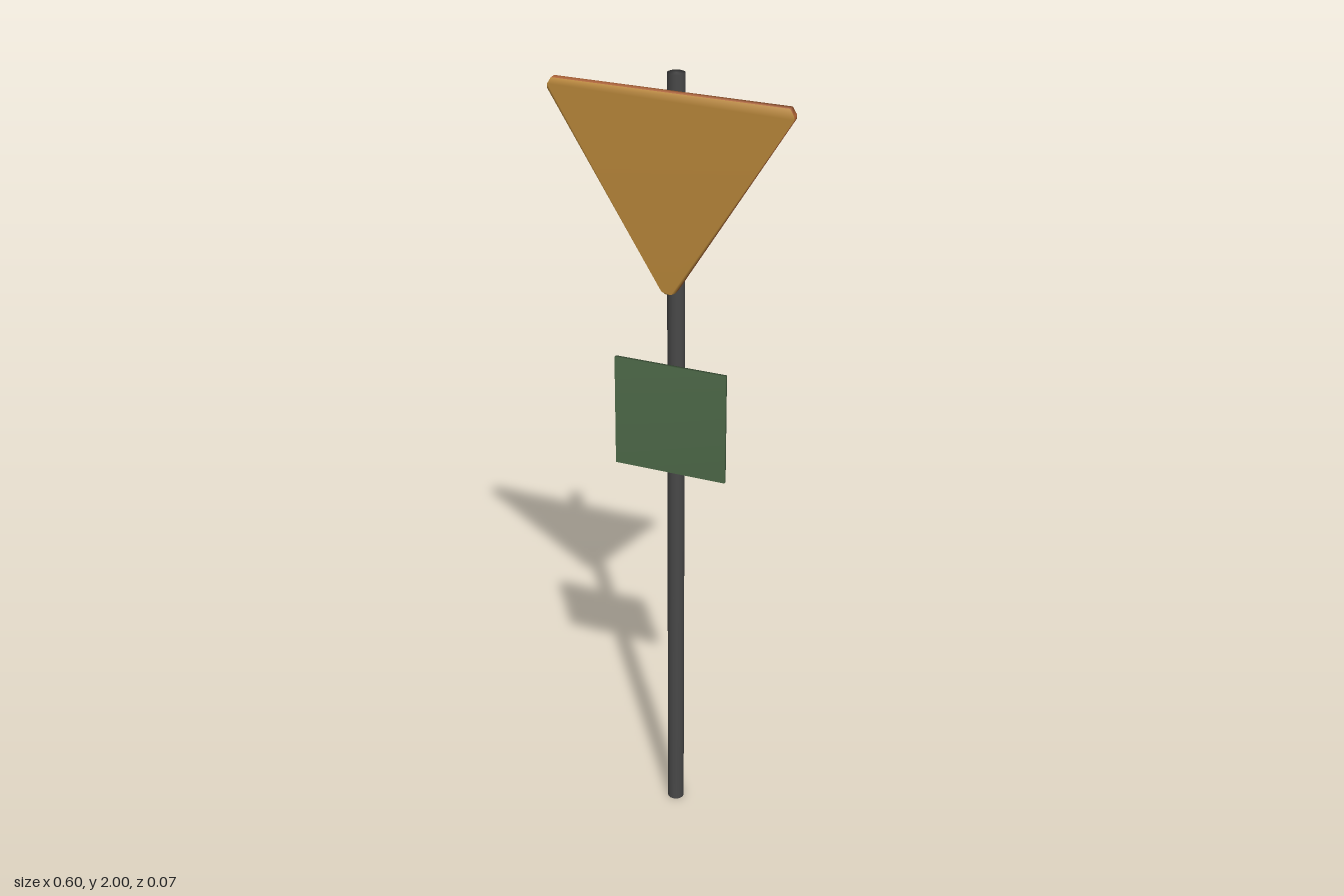
import * as THREE from 'three';
import { mergeVertices } from 'three/addons/utils/BufferGeometryUtils.js';

const POLE_X = 0.002, POLE_Z = -0.01;

const paint = (color) => new THREE.MeshStandardMaterial({ color });

// Weld corners so that normals are shared across the edges
function soften(geometry) {
  geometry.deleteAttribute('normal');
  geometry.deleteAttribute('uv');
  const welded = mergeVertices(geometry, 1e-5);
  welded.computeVertexNormals();
  return welded;
}

function addMesh(parent, name, geometry, material) {
  const mesh = new THREE.Mesh(geometry, material);
  mesh.name = name;
  parent.add(mesh);
  return mesh;
}

// Closed outline from its right half, listed from one end to the other
function mirroredShape(half) {
  const left = half.map(([x, y]) => [-x, y]).reverse();
  return new THREE.Shape([...half, ...left].map(([x, y]) => new THREE.Vector2(x, y)));
}

const extrude = (shape, depth) =>
  new THREE.ExtrudeGeometry(shape, { depth, bevelEnabled: false });

// Pole bracket: flared feet joined by a faceted strap, outline in plan (x, -z)
function clampGeometry(height) {
  const outer = [
    [0.066, -0.017], [0.066, -0.006], [0.034, 0.012], [0.033, 0.016], [0.029, 0.017],
    [0.025, 0.025], [0.020, 0.027], [0.011, 0.035],
  ];
  const inner = [
    [0.010, 0.032], [0.018, 0.024], [0.022, 0.022], [0.026, 0.014], [0.027, -0.017],
  ];
  const left = (list) => list.map(([x, y]) => [-x, y]);
  const outline = [
    ...outer, ...left(outer).reverse(),
    ...left(inner).reverse(), ...inner,
  ];
  const shape = new THREE.Shape(outline.map(([x, y]) => new THREE.Vector2(x, y)));
  return extrude(shape, height).rotateX(-Math.PI / 2).translate(0, -height / 2, 0);
}

export function createModel() {
  const group = new THREE.Group();
  group.name = 'roadSign';
  const metal = paint(0x484848);

  // Pole
  const pole = addMesh(group, 'pole',
    soften(new THREE.CylinderGeometry(0.021, 0.021, 2, 16)), metal);
  pole.position.set(POLE_X, 1, POLE_Z);

  // Triangular plate, point down, with clipped corners and a rust-coloured rim
  const triangle = mirroredShape([
    [0.007, 1.478], [0.018, 1.484], [0.299, 1.941], [0.298, 1.95], [0.288, 1.966],
  ]);
  const warning = addMesh(group, 'trianglePlate', soften(extrude(triangle, 0.018)),
    [paint(0xb9873a), paint(0xb06436)]);
  warning.position.z = 0.0155;

  // Square plate
  const square = addMesh(group, 'squarePlate',
    soften(new THREE.BoxGeometry(0.287, 0.287, 0.009)), paint(0x4f6b4a));
  square.position.set(0, 1.145, 0.0215);

  // Brackets: two behind the triangle, one behind the square
  const clamp = clampGeometry(0.026);
  for (const y of [1.878, 1.67, 1.19]) {
    addMesh(group, 'bracket', clamp, metal).position.set(POLE_X, y, 0);
  }
  return group;
}
